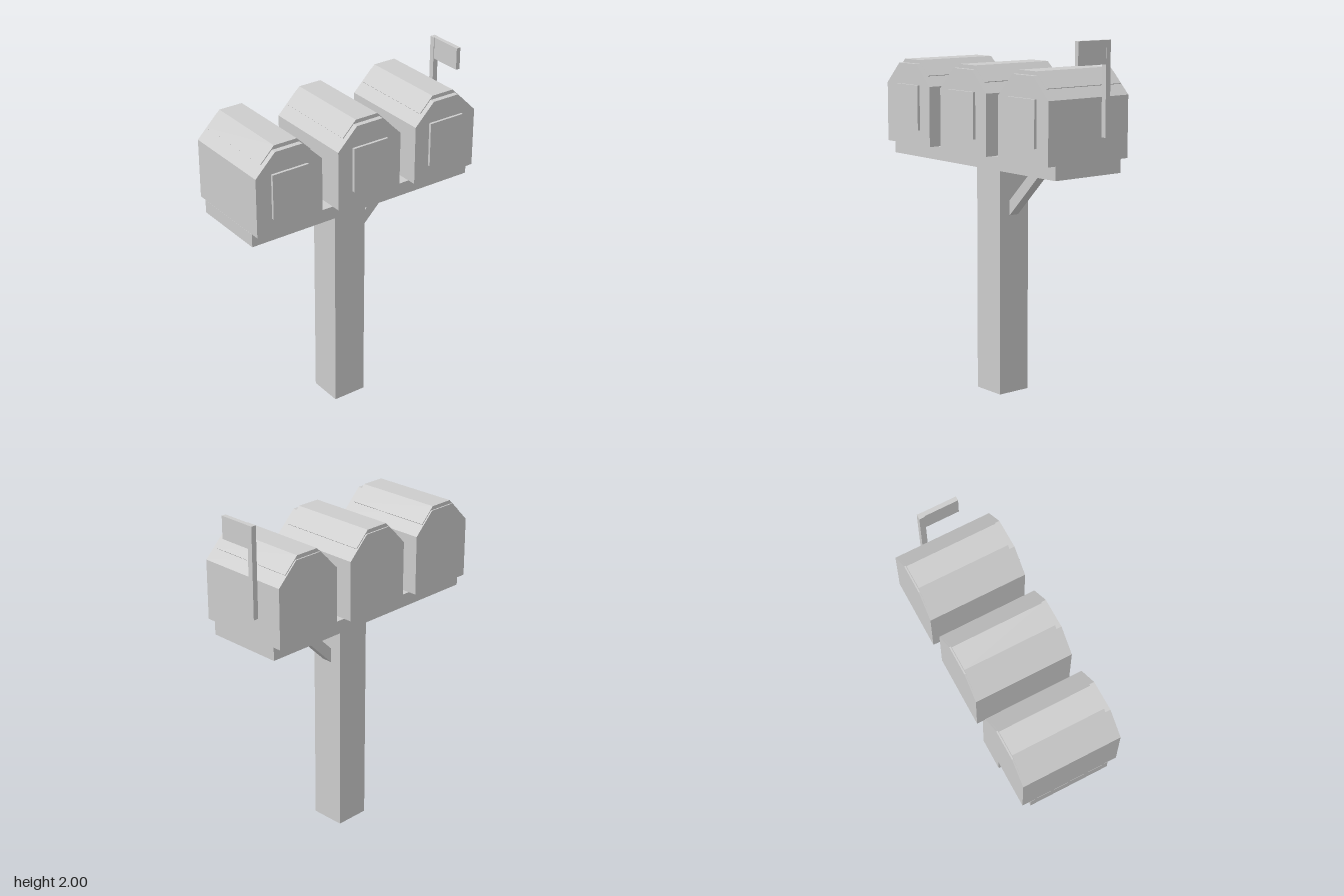
import * as THREE from 'three';

const grey = new THREE.MeshStandardMaterial({ color: 0xcccccc });
grey.name = 'plain grey';

function add(parent, name, geometry) {
  const mesh = new THREE.Mesh(geometry, grey);
  mesh.name = name;
  parent.add(mesh);
  return mesh;
}

// Box given by its minimum and maximum on each axis
function box(parent, name, [x0, x1], [y0, y1], [z0, z1]) {
  const geometry = new THREE.BoxGeometry(x1 - x0, y1 - y0, z1 - z0);
  geometry.translate((x0 + x1) / 2, (y0 + y1) / 2, (z0 + z1) / 2);
  return add(parent, name, geometry);
}

// Outline in x and y, extruded from z0 to z1
function prism(parent, name, points, z0, z1) {
  const shape = new THREE.Shape(points.map(([x, y]) => new THREE.Vector2(x, y)));
  const geometry = new THREE.ExtrudeGeometry(shape, { depth: z1 - z0, bevelEnabled: false });
  geometry.translate(0, 0, z0);
  return add(parent, name, geometry);
}

// Right half of an outline, from bottom to top, completed by its mirror image
const mirrored = (half) => [...half, ...half.map(([x, y]) => [-x, y]).reverse()];

function createMailbox(x) {
  const mailbox = new THREE.Group();
  mailbox.name = 'mailbox';
  mailbox.position.x = x;

  // Body with sloped shoulders
  prism(mailbox, 'mailboxBody', mirrored([[0.202, 1.37], [0.202, 1.706], [0.083, 1.825]]), -0.282, 0.271);

  // Thin folded cap over the ridge, stopping short of both ends
  prism(mailbox, 'roofCap', mirrored([[0.146, 1.757], [0.152, 1.763], [0.069, 1.846]]), -0.274, 0.241);

  // Raised door panel
  box(mailbox, 'doorPanel', [-0.11, 0.11], [1.455, 1.708], [0.265, 0.286]);
  return mailbox;
}

export function createModel() {
  const model = new THREE.Group();
  model.name = 'mailboxStand';

  // Stand
  box(model, 'post', [-0.116, 0.085], [0, 1.295], [-0.105, 0.096]);
  box(model, 'shelf', [-0.725, 0.69], [1.295, 1.37], [-0.234, 0.221]);
  prism(model, 'diagonalBrace', [[0.085, 1.013], [0.367, 1.295], [0.285, 1.295], [0.085, 1.097]], -0.033, 0.027);

  // Row of three mailboxes
  for (const i of [-1, 0, 1]) model.add(createMailbox(-0.017 + i * 0.505));

  // Signal flag on the left side
  const flag = new THREE.Group();
  flag.name = 'signalFlag';
  box(flag, 'flagArm', [0.691, 0.721], [1.495, 2], [-0.123, -0.092]);
  box(flag, 'flagPlate', [0.695, 0.72], [1.875, 2], [-0.1, 0.1]);
  model.add(flag);

  return model;
}
